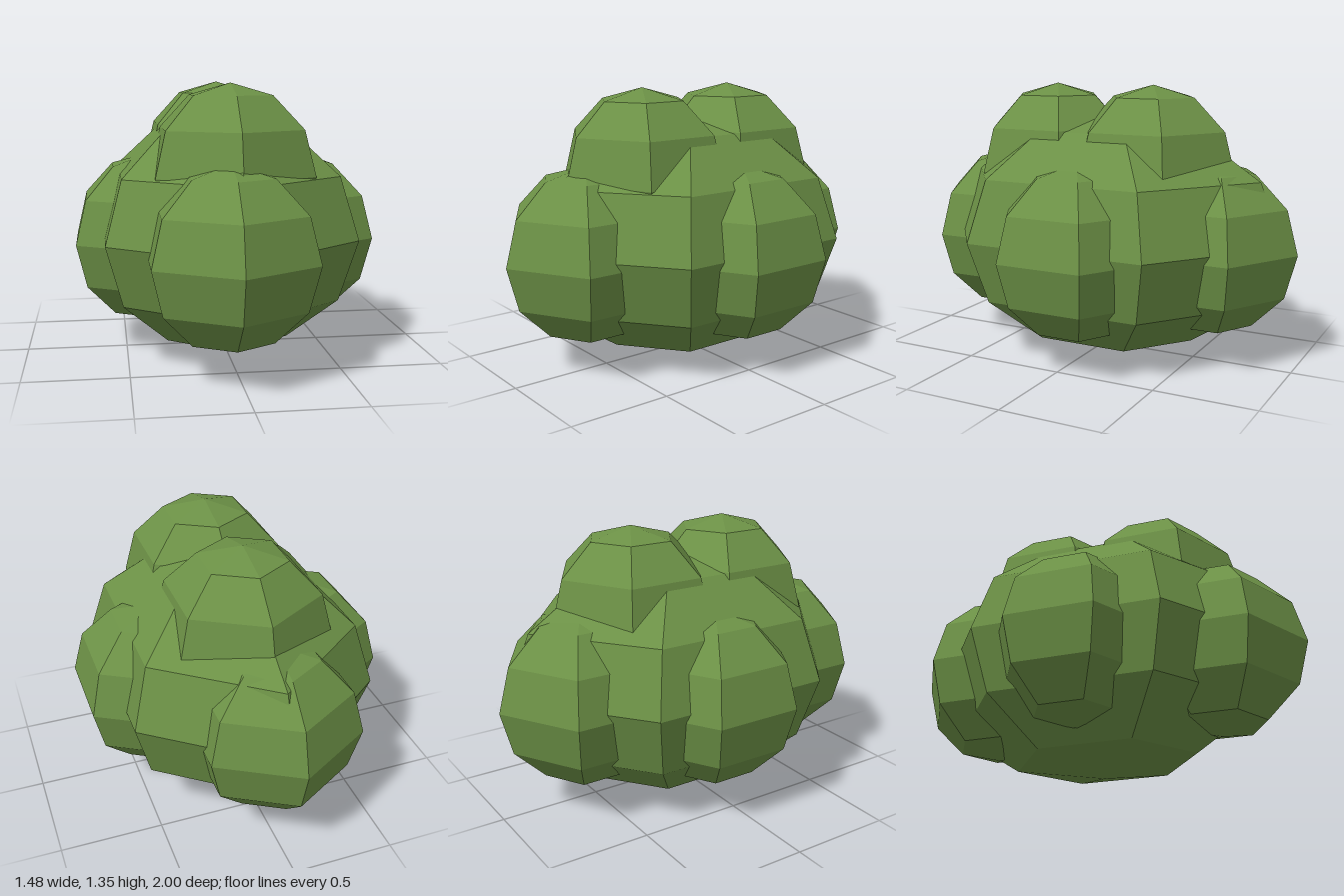
import * as THREE from 'three';

export function createModel() {
  const group = new THREE.Group();
  group.name = 'bush';
  const leaf = new THREE.MeshStandardMaterial({ color: 0x6c9146 });
  leaf.name = 'leaf green';
  leaf.flatShading = true;

  // Six-sided ball with corners on the z axis
  const ball = new THREE.SphereGeometry(1, 6, 6).rotateY(Math.PI / 2);

  function clump(name, x, y, z, rx, ry = rx, rz = rx) {
    const mesh = new THREE.Mesh(ball, leaf);
    mesh.name = name;
    mesh.position.set(x, y, z);
    mesh.scale.set(rx, ry, rz);
    group.add(mesh);
  }

  // Large central mass
  clump('centralFoliage', -0.003, 0.605, -0.025, 0.693, 0.605, 0.92);

  // Mirrored pairs of smaller clumps around and on top of it
  const r = 0.43;
  for (const s of [1, -1]) {
    clump(s > 0 ? 'topFrontClump' : 'topBackClump', 0, 0.92, s * 0.267, r);
    clump(s > 0 ? 'frontClump' : 'backClump', -0.04, 0.565, s * 0.57, r);
    clump(s > 0 ? 'leftClump' : 'rightClump', s * 0.37, 0.565, -0.042, r);
  }
  return group;
}
